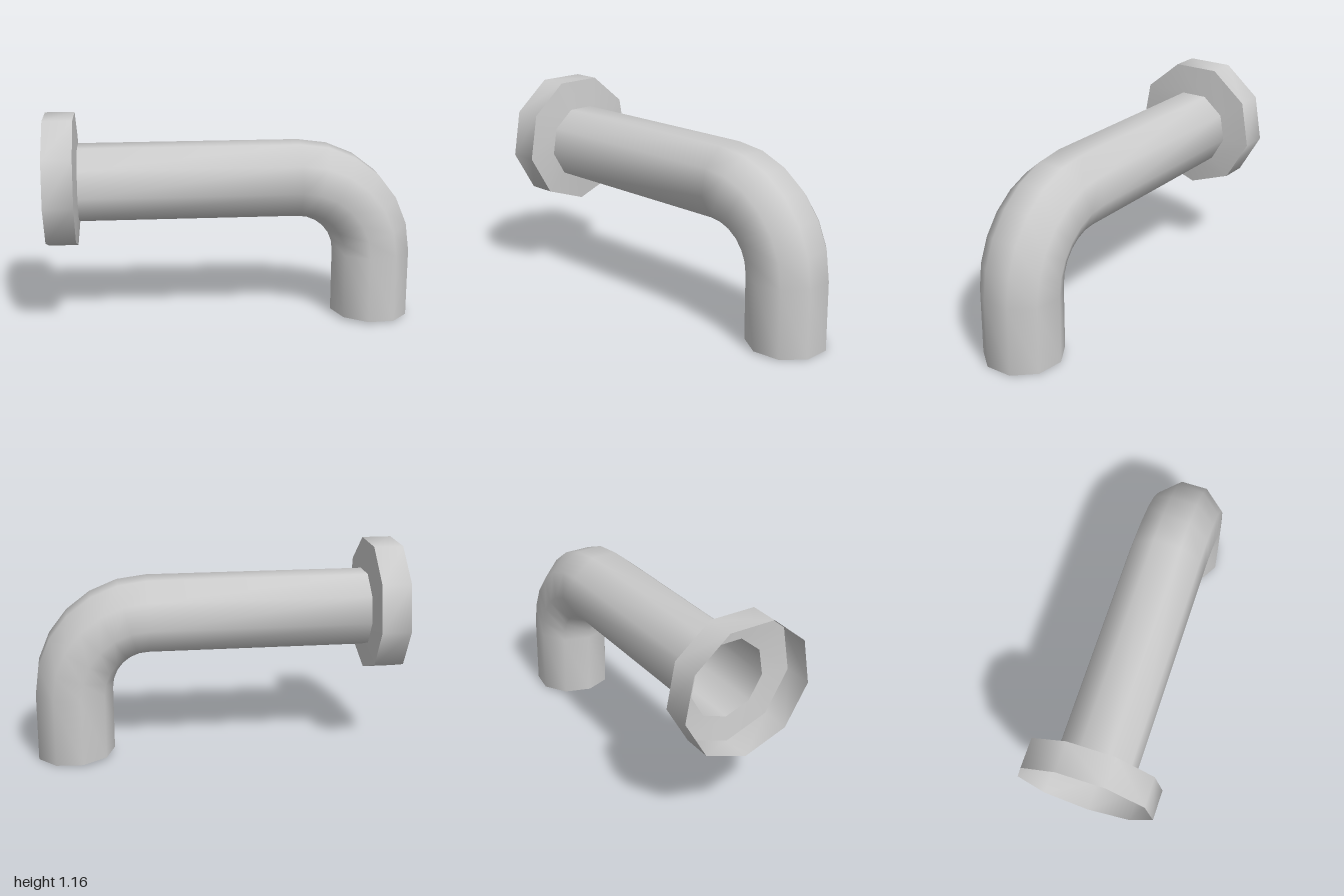
import * as THREE from 'three';

const SIDES = 9;
const material = new THREE.MeshStandardMaterial({ color: 0xcccccc, side: THREE.DoubleSide });

// Skin a list of rings; each ring maps (outward, sideways) offsets to a point.
function skin(name, rings) {
  const positions = [], index = [];
  rings.forEach(({ radius, place }, r) => {
    for (let i = 0; i < SIDES; i++) {
      const a = ((i + 0.5) / SIDES) * Math.PI * 2;
      positions.push(...place(radius * Math.cos(a), radius * Math.sin(a)));
      if (r === rings.length - 1) continue;
      const p = r * SIDES + i, q = r * SIDES + ((i + 1) % SIDES);
      index.push(p, q, p + SIDES, q, q + SIDES, p + SIDES);
    }
  });
  const geometry = new THREE.BufferGeometry();
  geometry.setAttribute('position', new THREE.Float32BufferAttribute(positions, 3));
  geometry.setIndex(index);
  geometry.computeVertexNormals();
  const mesh = new THREE.Mesh(geometry, material);
  mesh.name = name;
  return mesh;
}

// Upright ring facing along x
const uprightRing = (x, y, radius) => ({ radius, place: (o, s) => [x, y + o, s] });

export function createModel() {
  const group = new THREE.Group();
  group.name = 'elbowPipe';

  const pipeR = 0.2175, pipeY = 0.795;
  const flangeR = 0.372, flangeY = 0.813;
  const bendC = 0.38, bendR = pipeY - bendC, bendSteps = 6;

  // Pipe: straight run, quarter bend, short drop with a slightly slanted mouth
  const rings = [uprightRing(-0.825, pipeY, pipeR)];
  for (let k = 0; k <= bendSteps; k++) {
    const t = (k / bendSteps) * Math.PI / 2;
    rings.push({
      radius: pipeR,
      place: (o, s) => [bendC + (bendR + o) * Math.sin(t), bendC + (bendR + o) * Math.cos(t), s],
    });
  }
  rings.push({ radius: pipeR, place: (o, s) => [pipeY + o, 0.01 - 0.047 * o, s] });
  group.add(skin('pipe', rings));

  // Flange: hollow rim, open at the back, with a shallow collar closing onto the pipe
  group.add(skin('flangeRim', [uprightRing(-1, flangeY, flangeR), uprightRing(-0.84, flangeY, flangeR)]));
  group.add(skin('flangeCollar', [uprightRing(-0.84, flangeY, flangeR), uprightRing(-0.825, pipeY, pipeR)]));

  return group;
}
